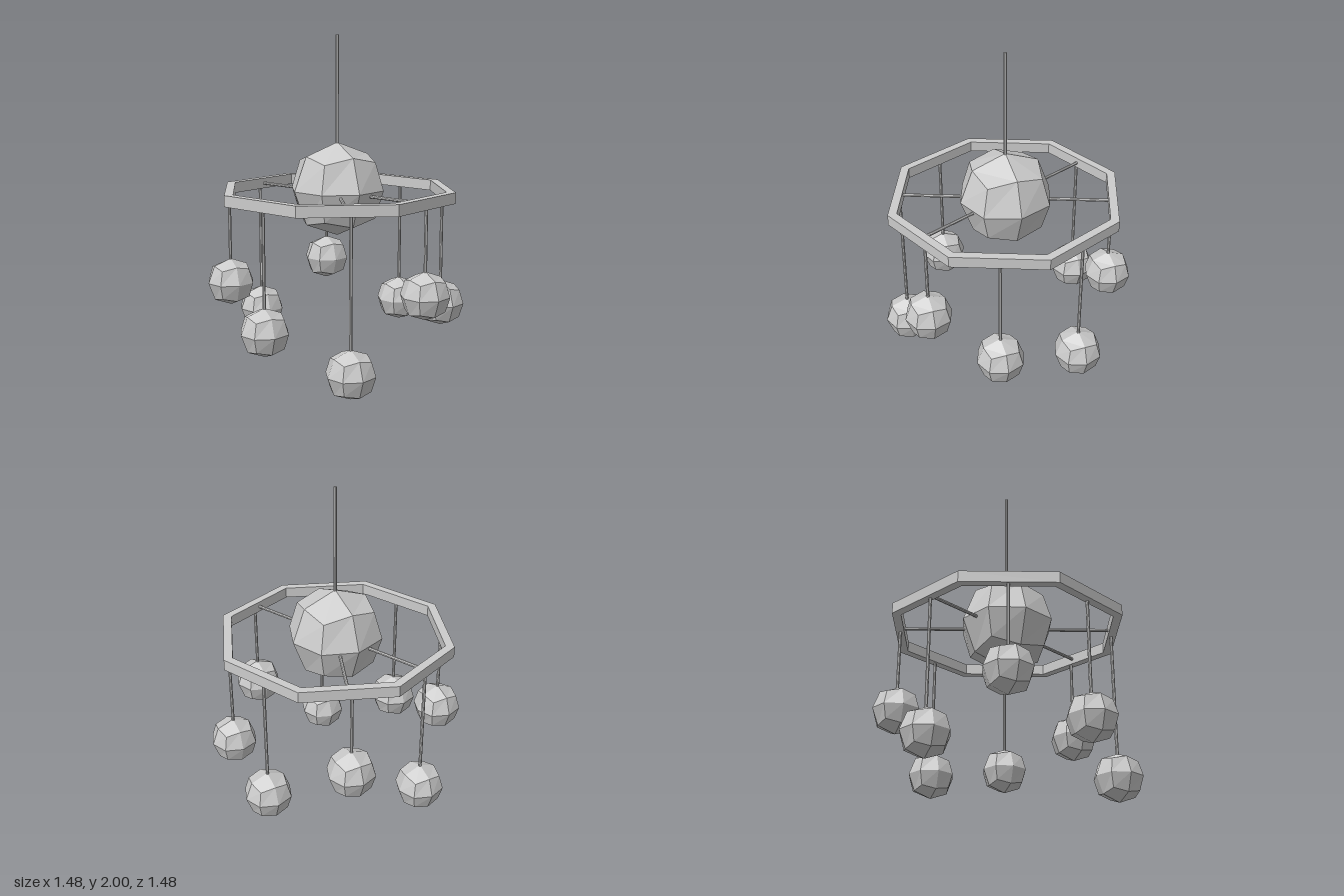
import * as THREE from 'three';

const material = new THREE.MeshStandardMaterial({ color: 0xcccccc, flatShading: true });
const HUB_Y = 1.085, RING_Y = 1.063, RING_H = 0.066;

function add(parent, name, geometry, x = 0, y = 0, z = 0) {
  const mesh = new THREE.Mesh(geometry, material);
  mesh.name = name;
  mesh.position.set(x, y, z);
  parent.add(mesh);
  return mesh;
}

// Faceted ball: a cube split 2x2 per side, its edge and corner points pulled in
function ballGeometry(radius) {
  const geometry = new THREE.BoxGeometry(2, 2, 2, 2, 2, 2);
  const p = geometry.attributes.position;
  const pull = [0, 1, 0.726, 0.596];
  for (let i = 0; i < p.count; i++) {
    const v = new THREE.Vector3().fromBufferAttribute(p, i).round();
    const axes = Math.abs(v.x) + Math.abs(v.y) + Math.abs(v.z);
    v.multiplyScalar(pull[axes] * radius);
    p.setXYZ(i, v.x, v.y, v.z);
  }
  geometry.computeVertexNormals();
  return geometry;
}

// Thin rod between two points
function rod(parent, name, from, to) {
  const dir = to.clone().sub(from);
  const mesh = add(parent, name, new THREE.CylinderGeometry(0.01, 0.01, dir.length(), 8));
  mesh.position.copy(from).add(to).multiplyScalar(0.5);
  mesh.quaternion.setFromUnitVectors(new THREE.Vector3(0, 1, 0), dir.normalize());
}

function octagon(radius) {
  return Array.from({ length: 8 }, (_, i) => {
    const a = (i * Math.PI) / 4;
    return new THREE.Vector2(radius * Math.cos(a), radius * Math.sin(a));
  });
}

export function createModel() {
  const model = new THREE.Group();
  model.name = 'hangingMobile';

  // Central ball and the rod it hangs from
  add(model, 'centreBall', ballGeometry(0.283), 0, HUB_Y, 0);
  rod(model, 'hangingRod', new THREE.Vector3(0, HUB_Y, 0), new THREE.Vector3(0, 2, 0));

  // Octagonal ring
  const shape = new THREE.Shape(octagon(0.723));
  shape.holes.push(new THREE.Path(octagon(0.668)));
  const ringGeometry = new THREE.ExtrudeGeometry(shape, { depth: RING_H, bevelEnabled: false });
  ringGeometry.translate(0, 0, -RING_H / 2).rotateX(-Math.PI / 2);
  add(model, 'ring', ringGeometry, 0, RING_Y, 0);

  // Four spokes from the centre ball to the ring
  for (const sx of [-1, 1]) {
    for (const sz of [-1, 1]) {
      const end = new THREE.Vector3(sx * 0.245, RING_Y, sz * 0.591);
      rod(model, 'spoke', new THREE.Vector3(0, RING_Y, 0), end);
    }
  }

  // Eight small balls on strings of different lengths: x, y, z
  const pendants = [
    [-0.262, 0.24, -0.58], [0.228, 0.525, -0.60],
    [-0.597, 0.525, -0.252], [0.594, 0.275, -0.249],
    [-0.585, 0.336, 0.24], [0.595, 0.365, 0.244],
    [-0.224, 0.1425, 0.597], [0.267, 0.525, 0.577],
  ];
  const smallBall = ballGeometry(0.1425);
  for (const [x, y, z] of pendants) {
    const pendant = new THREE.Group();
    pendant.name = 'pendant';
    add(pendant, 'smallBall', smallBall, x, y, z);
    rod(pendant, 'string', new THREE.Vector3(x, y, z), new THREE.Vector3(x, RING_Y, z));
    model.add(pendant);
  }
  return model;
}
